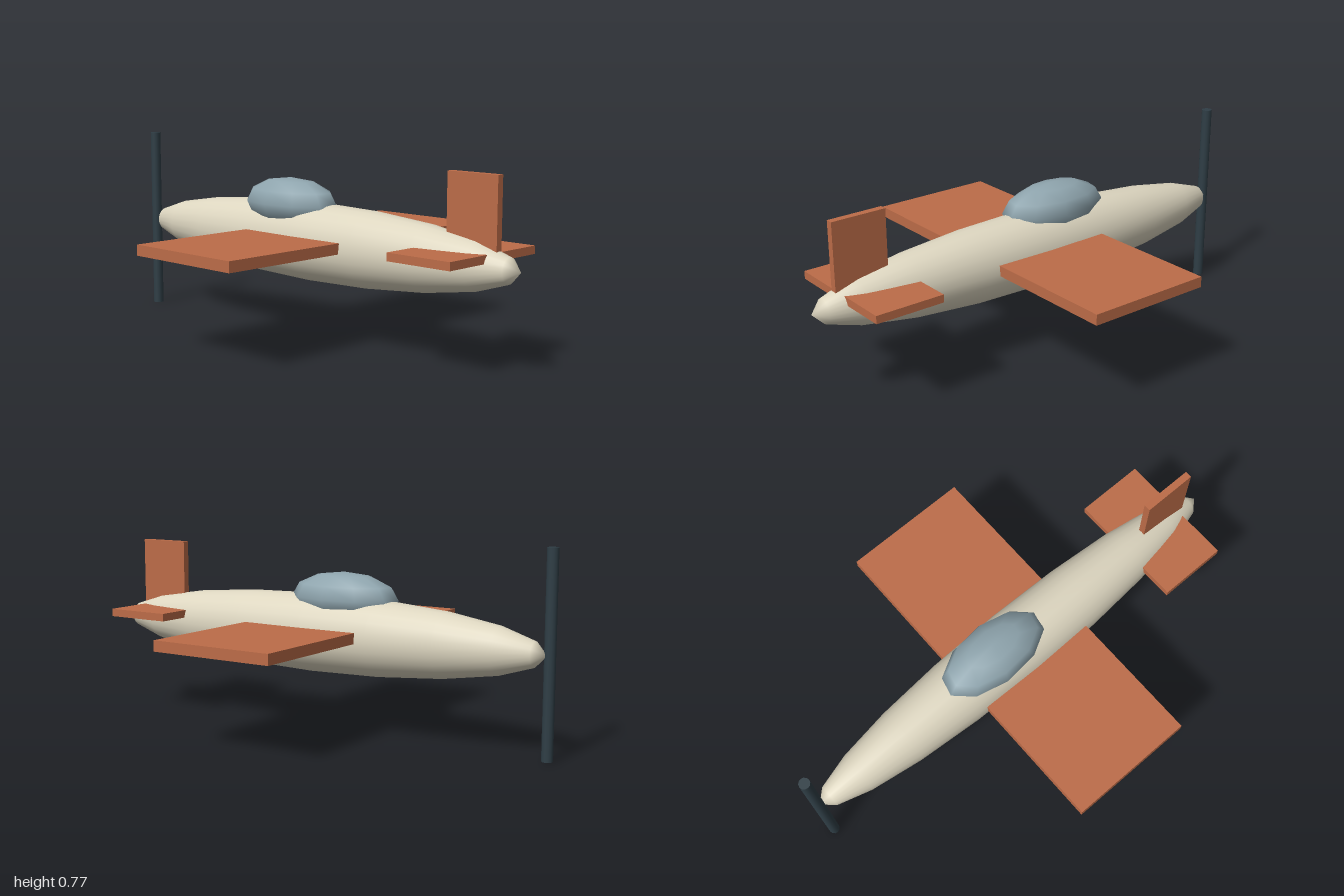
import * as THREE from 'three';

export function createModel() {
  const plane = new THREE.Group();
  plane.name = 'airplane';

  const material = (name, color) => {
    const m = new THREE.MeshStandardMaterial({ color });
    m.name = name;
    return m;
  };
  const cream = material('cream', 0xddd6c0);
  const terracotta = material('terracotta', 0xbc6c48);
  const glass = material('blueGrey', 0x8fa5ae);
  const dark = material('darkSlate', 0x2f3e46);

  const add = (name, geometry, mat, x, y, z) => {
    const mesh = new THREE.Mesh(geometry, mat);
    mesh.name = name;
    mesh.position.set(x, y, z);
    plane.add(mesh);
    return mesh;
  };

  // Spindle fuselage, poles at nose and tail
  const body = new THREE.SphereGeometry(1, 24, 10);
  body.rotateZ(-Math.PI / 2).scale(0.984, 0.157, 0.143);
  add('fuselage', body, cream, 0.01, 0.386, 0);

  // Low bubble canopy, set slightly off the centre line
  const bubble = new THREE.SphereGeometry(1, 10, 6);
  bubble.rotateY(0.19).scale(0.236, 0.102, 0.123);
  add('canopy', bubble, glass, -0.113, 0.531, 0.012);

  // Wing, tailplane and fin slabs
  add('wing', new THREE.BoxGeometry(0.515, 0.042, 1.36), terracotta, 0.008, 0.4, 0);
  add('tailplane', new THREE.BoxGeometry(0.28, 0.031, 0.492), terracotta, 0.74, 0.424, 0);
  add('fin', new THREE.BoxGeometry(0.22, 0.3, 0.028), terracotta, 0.79, 0.565, 0);

  // Upright propeller rod at the nose
  add('propeller', new THREE.CylinderGeometry(0.0215, 0.0215, 0.77, 12), dark, -0.979, 0.385, 0.012);

  return plane;
}
